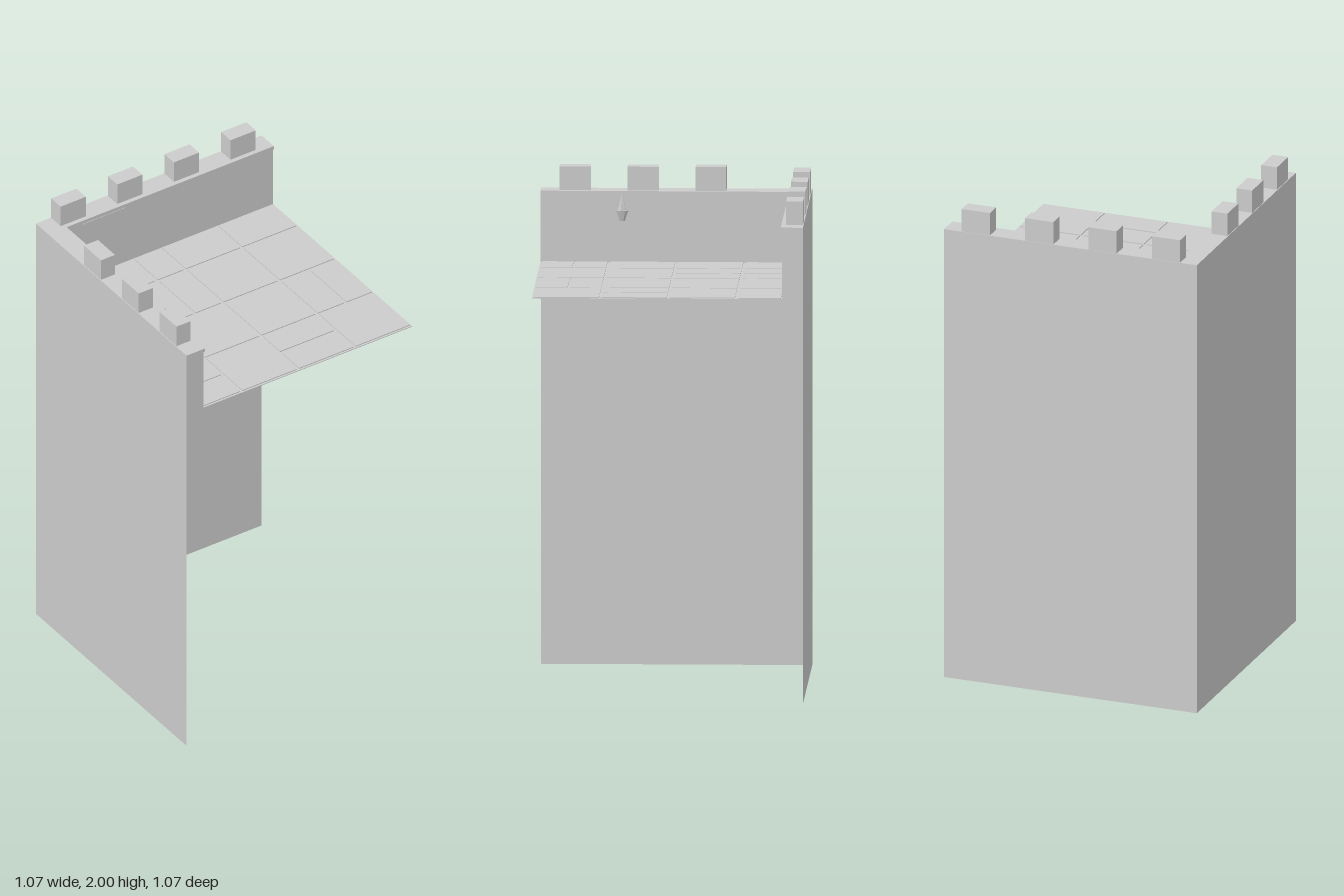
import * as THREE from 'three';

export function createModel() {
  const tower = new THREE.Group();
  tower.name = 'towerCorner';
  const stone = new THREE.MeshStandardMaterial({ color: 0xcccccc, side: THREE.DoubleSide, flatShading: true });
  stone.name = 'stone';

  const H = 0.537;      // half width
  const IN = -0.455;    // inner face of the parapets
  const LIP = -0.449;   // inner edge of the coping
  const FLOOR = 1.623, COPING = 1.89, TOP = 1.905;

  const add = (name, geometry, parent = tower) => {
    const mesh = new THREE.Mesh(geometry, stone);
    mesh.name = name;
    parent.add(mesh);
    return mesh;
  };
  // Box given by its limits on each axis
  const block = (name, x0, x1, y0, y1, z0, z1, parent) => {
    const mesh = add(name, new THREE.BoxGeometry(x1 - x0, y1 - y0, z1 - z0), parent);
    mesh.position.set((x0 + x1) / 2, (y0 + y1) / 2, (z0 + z1) / 2);
    return mesh;
  };

  // Two thin outer walls below the floor
  const sheet = new THREE.PlaneGeometry(2 * H, FLOOR - 0.005);
  sheet.translate(0, (FLOOR - 0.005) / 2, 0);
  const backWall = add('backWall', sheet);
  backWall.position.z = -H;
  backWall.rotation.y = Math.PI;
  const sideWall = add('sideWall', sheet);
  sideWall.position.x = -H;
  sideWall.rotation.y = -Math.PI / 2;

  // Floor plate with paving slabs separated by narrow joints
  block('floorPlate', -H, H, FLOOR - 0.007, FLOOR - 0.004, -H, H);
  const paving = new THREE.Group();
  paving.name = 'paving';
  tower.add(paving);
  const columns = [[-0.449, -0.277], [-0.265, -0.007], [0.005, 0.262], [0.273, 0.531]];
  const rows = [[-0.449, -0.279], [-0.267, -0.01], [0.003, 0.26], [0.271, 0.529]];
  const splitX = { '1,0': -0.135, '1,1': -0.135, '3,2': 0.403 };
  const splitZ = { '0,3': 0.399, '2,3': 0.399 };
  const divide = ([a, b], cut) => cut === undefined ? [[a, b]] : [[a, cut - 0.006], [cut + 0.006, b]];
  columns.forEach((column, i) => rows.forEach((row, j) => {
    const key = `${i},${j}`;
    for (const [x0, x1] of divide(column, splitX[key]))
      for (const [z0, z1] of divide(row, splitZ[key]))
        block('pavingSlab', x0, x1, FLOOR - 0.004, FLOOR, z0, z1, paving);
  }));

  // Parapets with a slightly projecting coping
  block('backParapet', -H, H, FLOOR - 0.005, COPING, -H, IN);
  block('sideParapet', -H, IN, FLOOR - 0.005, COPING, IN, H);
  block('backCoping', -H, H, COPING, TOP, -H, LIP);
  block('sideCoping', -H, LIP, COPING, TOP, LIP, H);
  block('copingChip', -0.37, -0.17, COPING - 0.007, COPING, IN, LIP + 0.002);

  // Merlons: four along the back, three along the side
  for (let i = 0; i < 4; i++) {
    const c = -0.405 + i * 0.2695;
    block('backMerlon', c - 0.06, c + 0.06, TOP, 2, -0.535, -0.468);
    if (i > 0) block('sideMerlon', -0.534, -0.467, TOP, 2, c - 0.063, c + 0.058);
  }

  // Small wall torch: bracket, faceted cup and flame
  const torch = new THREE.Group();
  torch.name = 'torch';
  torch.position.set(-0.421, 0, 0.212);
  tower.add(torch);
  const cup = add('torchCup', new THREE.CylinderGeometry(0.024, 0.011, 0.042, 6), torch);
  cup.position.y = 1.811;
  const flame = add('torchFlame', new THREE.ConeGeometry(0.02, 0.08, 5), torch);
  flame.position.y = 1.862;
  block('torchBracket', -0.036, -0.005, 1.793, 1.803, -0.006, 0.006, torch);

  return tower;
}
